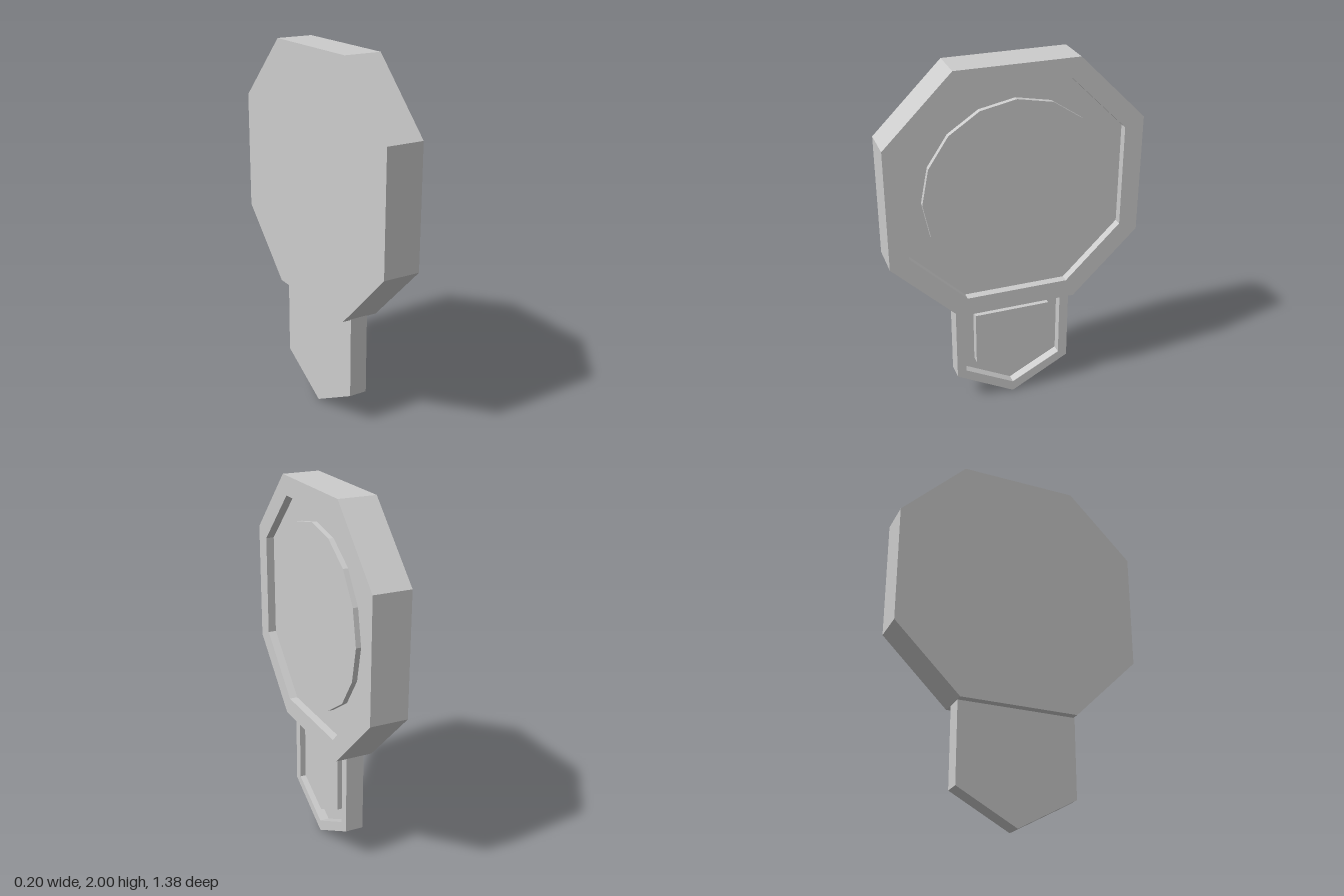
import * as THREE from 'three';

const grey = new THREE.MeshStandardMaterial({ color: 0xcccccc });
grey.name = 'plain grey';

// Outlines are [z, y] points; shape x runs along -z so the extrusion points to +x.
const toVectors = (points) => points.map(([z, y]) => new THREE.Vector2(-z, y));

// Flat slab with the given outline between two x positions, with an optional hole.
function slab(name, outline, x0, x1, hole) {
  const shape = new THREE.Shape(toVectors(outline));
  if (hole) shape.holes.push(new THREE.Path(toVectors(hole)));
  const geometry = new THREE.ExtrudeGeometry(shape, { depth: x1 - x0, bevelEnabled: false });
  geometry.rotateY(Math.PI / 2).translate(x0, 0, 0);
  const mesh = new THREE.Mesh(geometry, grey);
  mesh.name = name;
  return mesh;
}

// Octagon with half width w, half height h and half lengths of its flat sides.
function octagon(cy, w, h, flatZ, flatY) {
  return [[flatZ, h], [w, flatY], [w, -flatY], [flatZ, -h],
    [-flatZ, -h], [-w, -flatY], [-w, flatY], [-flatZ, h]].map(([z, y]) => [z, y + cy]);
}

// Five-sided tab outline with a point at the bottom.
function pennant(zFront, zBack, top, shoulder, tip) {
  return [[zFront, top], [zFront, shoulder], [0.005, tip], [zBack, shoulder], [zBack, top]];
}

// Solid backing, raised rim around a recess, and a raised panel inside it.
function framedPlate(name, outer, opening, panel, x) {
  const group = new THREE.Group();
  group.name = name;
  group.add(
    slab(name + 'Backing', outer, x.back, x.floor),
    slab(name + 'Rim', outer, x.floor, x.face, opening),
    slab(name + 'Panel', panel, x.floor, x.panel),
  );
  return group;
}

export function createModel() {
  const model = new THREE.Group();
  model.name = 'medallion';

  // Sixteen-sided disc outline
  const disc = Array.from({ length: 16 }, (_, i) => {
    const a = (i / 16) * Math.PI * 2;
    return [0.5 * Math.sin(a), 1.315 + 0.5 * Math.cos(a)];
  });

  // Octagonal head
  model.add(framedPlate('head',
    octagon(1.3125, 0.69, 0.6875, 0.328, 0.328),
    octagon(1.3125, 0.587, 0.583, 0.283, 0.281),
    disc,
    { back: -0.105, floor: 0.055, panel: 0.083, face: 0.1 }));

  // Pointed tab below the head
  model.add(framedPlate('tab',
    pennant(0.335, -0.325, 0.635, 0.18, 0),
    pennant(0.283, -0.273, 0.628, 0.21, 0.062),
    pennant(0.22, -0.207, 0.562, 0.25, 0.137),
    { back: -0.06, floor: -0.012, panel: 0.035, face: 0.04 }));

  return model;
}
